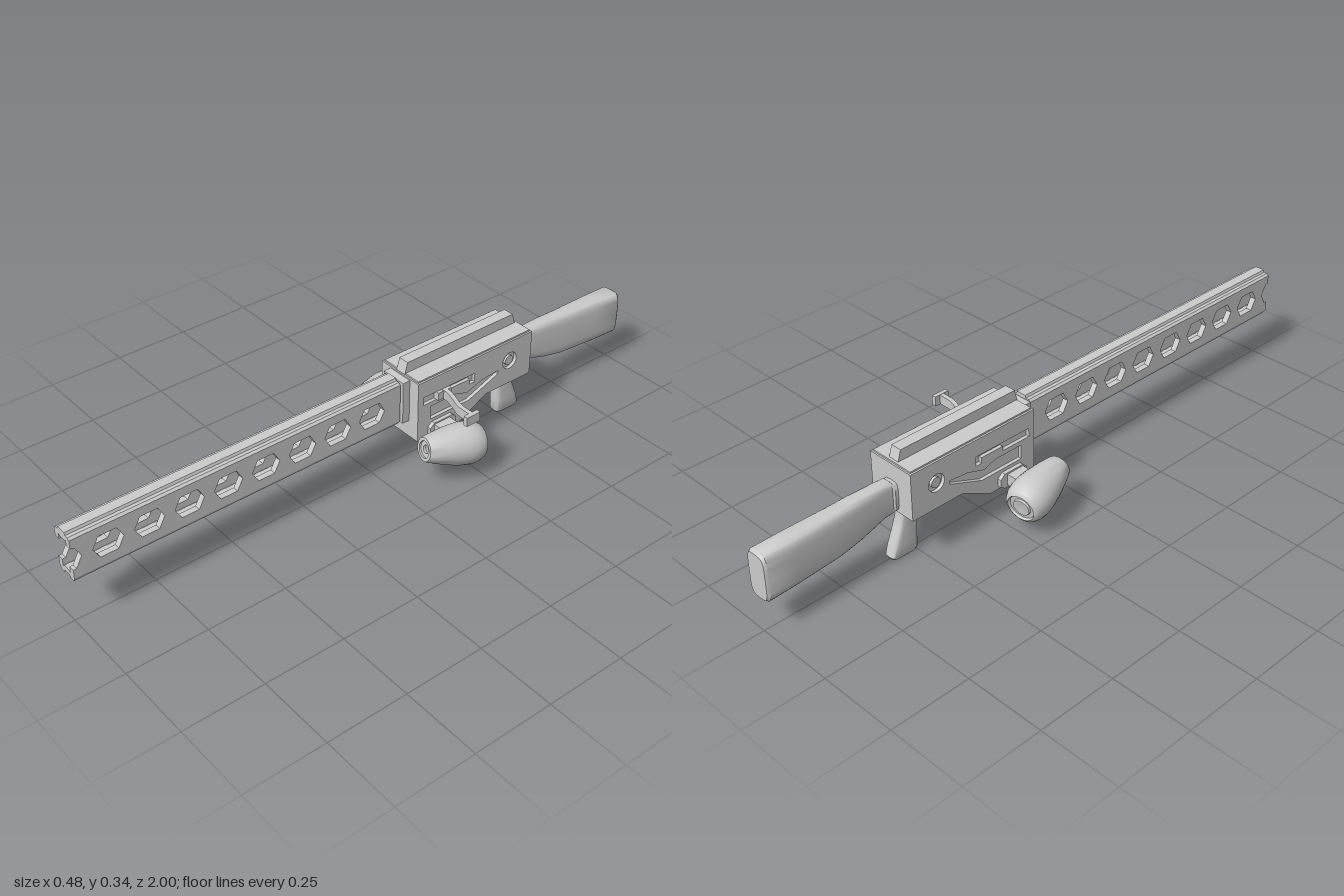
import * as THREE from 'three';
import { toCreasedNormals } from 'three/addons/utils/BufferGeometryUtils.js';

const grey = new THREE.MeshStandardMaterial({ color: 0xcccccc });

function add(parent, name, geometry, x = 0, y = 0, z = 0) {
  const mesh = new THREE.Mesh(geometry, grey);
  mesh.name = name;
  mesh.position.set(x, y, z);
  parent.add(mesh);
  return mesh;
}

const vecs = (pts) => pts.map(([a, b]) => new THREE.Vector2(a, b));

// Side profile given as [z, y] points, extruded from x0 to x1
function slab(pts, x0, x1, holes = []) {
  const shape = new THREE.Shape(vecs(pts));
  holes.forEach((h) => shape.holes.push(new THREE.Path(vecs(h))));
  return new THREE.ExtrudeGeometry(shape, { depth: x1 - x0, bevelEnabled: false })
    .rotateY(-Math.PI / 2).translate(x1, 0, 0);
}

// Front profile given as [x, y] points, extruded from z0 to z1
function rail(pts, z0, z1) {
  return new THREE.ExtrudeGeometry(new THREE.Shape(vecs(pts)), { depth: z1 - z0, bevelEnabled: false })
    .translate(0, 0, z0);
}

// Soft-cornered sections [z, centreY, halfWidth, halfHeight], ordered by rising z
function loft(sections, n = 24) {
  const pos = [], index = [];
  for (const [z, cy, w, h] of sections) {
    for (let k = 0; k < n; k++) {
      const a = (k / n) * Math.PI * 2, c = Math.cos(a), s = Math.sin(a);
      pos.push(w * Math.sign(c) * Math.abs(c) ** 0.45, cy + h * Math.sign(s) * Math.abs(s) ** 0.45, z);
    }
  }
  const last = sections.length - 1;
  for (let i = 0; i < last; i++) {
    for (let k = 0; k < n; k++) {
      const a = i * n + k, b = i * n + (k + 1) % n;
      index.push(a, b, b + n, a, b + n, a + n);
    }
  }
  for (let k = 1; k < n - 1; k++) {
    index.push(0, k + 1, k, last * n, last * n + k, last * n + k + 1);
  }
  const g = new THREE.BufferGeometry();
  g.setAttribute('position', new THREE.Float32BufferAttribute(pos, 3));
  g.setIndex(index);
  return toCreasedNormals(g, 0.6);
}

function buildBarrel() {
  const barrel = new THREE.Group();
  barrel.name = 'barrel';
  // Side plates pierced by a row of hexagons, with a half hexagon at the muzzle
  const holes = [];
  for (let i = 0; i < 8; i++) {
    const z = 0.025 + i * 0.124;
    holes.push([[z - 0.046, 0.233], [z - 0.027, 0.267], [z + 0.027, 0.267],
      [z + 0.046, 0.233], [z + 0.027, 0.199], [z - 0.027, 0.199]]);
  }
  const side = [[-0.08, 0.17], [1, 0.17], [1, 0.199], [0.99, 0.199], [0.971, 0.233],
    [0.99, 0.267], [1, 0.267], [1, 0.295], [-0.08, 0.295]];
  add(barrel, 'leftBarrelPlate', slab(side, 0.018, 0.037, holes));
  add(barrel, 'rightBarrelPlate', slab(side, -0.037, -0.018, holes));
  // Upper and lower rails closing the bore
  add(barrel, 'upperRail', rail([[-0.018, 0.285], [-0.01, 0.28], [0.01, 0.28], [0.018, 0.285],
    [0.037, 0.295], [0.03, 0.301], [0.019, 0.301], [0.016, 0.309], [-0.016, 0.309],
    [-0.019, 0.301], [-0.03, 0.301], [-0.037, 0.295]], -0.08, 1));
  add(barrel, 'lowerRail', rail([[-0.037, 0.17], [-0.03, 0.158], [-0.016, 0.158], [-0.013, 0.165],
    [0.013, 0.165], [0.016, 0.158], [0.03, 0.158], [0.037, 0.17],
    [0.018, 0.178], [0.01, 0.183], [-0.01, 0.183], [-0.018, 0.178]], -0.08, 1));
  add(barrel, 'barrelCollar', new THREE.BoxGeometry(0.086, 0.14, 0.03), 0, 0.231, -0.1);
  return barrel;
}

function buildReceiver() {
  const receiver = new THREE.Group();
  receiver.name = 'receiver';
  const body = [[-0.11, 0.105], [-0.11, 0.306], [-0.56, 0.306], [-0.56, 0.157], [-0.38, 0.157], [-0.28, 0.105]];
  add(receiver, 'receiverCore', slab(body, -0.07, 0.07));
  // Outer plates with a bolt slot, a slanted recess and a round socket
  const socket = [];
  for (let k = 0; k < 20; k++) {
    const a = (k / 20) * Math.PI * 2;
    socket.push([-0.472 + 0.028 * Math.cos(a), 0.238 + 0.028 * Math.sin(a)]);
  }
  const slot = [[-0.13, 0.252], [-0.33, 0.252], [-0.33, 0.222], [-0.31, 0.222], [-0.31, 0.24],
    [-0.23, 0.24], [-0.23, 0.225], [-0.13, 0.225]];
  const recess = [[-0.16, 0.21], [-0.26, 0.21], [-0.3, 0.195], [-0.36, 0.215], [-0.425, 0.222],
    [-0.425, 0.21], [-0.31, 0.165], [-0.16, 0.165]];
  for (const s of [-1, 1]) {
    const name = s > 0 ? 'left' : 'right';
    add(receiver, name + 'ReceiverPlate',
      slab(body, s > 0 ? 0.07 : -0.081, s > 0 ? 0.081 : -0.07, [socket, slot, recess]));
    add(receiver, name + 'Pin', new THREE.CylinderGeometry(0.016, 0.016, 0.012, 20).rotateZ(Math.PI / 2),
      s * 0.073, 0.238, -0.472);
  }
  add(receiver, 'receiverLid', new THREE.BoxGeometry(0.15, 0.008, 0.44), 0, 0.307, -0.335);
  add(receiver, 'topRail', slab([[-0.112, 0.308], [-0.122, 0.345], [-0.537, 0.345], [-0.548, 0.308]], -0.018, 0.018));
  return receiver;
}

// Egg-shaped pod on a short bracket, built on the +x side
function buildPod() {
  const pod = new THREE.Group();
  const front = new THREE.Vector3(0.149, 0.13, -0.083);
  const rear = new THREE.Vector3(0.183, 0.098, -0.262);
  const profile = [[0, 0.008], [0.013, 0.008], [0.013, 0], [0.026, 0], [0.026, -0.006], [0.036, -0.006],
    [0.04, 0.004], [0.05, 0.04], [0.059, 0.08], [0.064, 0.115], [0.065, 0.14], [0.061, 0.163],
    [0.053, 0.18], [0.043, 0.186], [0.04, 0.178], [0.028, 0.178], [0.026, 0.184], [0.014, 0.184], [0, 0.18]];
  // Profile runs rear to front so that the surface faces outward
  const points = vecs(profile.map(([r, t]) => [r, -t]).reverse());
  const shell = add(pod, 'podShell', toCreasedNormals(new THREE.LatheGeometry(points, 28), 0.6),
    front.x, front.y, front.z);
  shell.quaternion.setFromUnitVectors(new THREE.Vector3(0, 1, 0), front.clone().sub(rear).normalize());
  add(pod, 'podFlange', slab([[-0.15, 0.115], [-0.15, 0.14], [-0.165, 0.154], [-0.235, 0.154],
    [-0.25, 0.14], [-0.25, 0.115], [-0.235, 0.106], [-0.165, 0.106]], 0.078, 0.093));
  add(pod, 'podArm', new THREE.BoxGeometry(0.06, 0.036, 0.06), 0.118, 0.131, -0.195);
  return pod;
}

function buildHandle() {
  const handle = new THREE.Group();
  handle.name = 'boltHandle';
  // Thin curved blade seen from above, as [x, -z] points, with an end tab
  const curve = new THREE.CatmullRomCurve3([[0.07, 0.205], [0.1, 0.207], [0.135, 0.198], [0.175, 0.185], [0.225, 0.183]]
    .map(([x, y]) => new THREE.Vector3(x, y, 0)));
  const pts = curve.getPoints(16);
  const outline = [...pts.map((p) => [p.x, p.y - 0.007]), ...pts.reverse().map((p) => [p.x, p.y + 0.007])];
  add(handle, 'handleBlade', new THREE.ExtrudeGeometry(new THREE.Shape(vecs(outline)), { depth: 0.03, bevelEnabled: false })
    .rotateX(-Math.PI / 2), 0, 0.223, 0);
  add(handle, 'handleTab', new THREE.BoxGeometry(0.014, 0.031, 0.05), 0.229, 0.238, -0.183);
  add(handle, 'handleBase', new THREE.BoxGeometry(0.02, 0.026, 0.05), 0.08, 0.238, -0.205);
  return handle;
}

export function createModel() {
  const model = new THREE.Group();
  model.name = 'rifle';
  model.add(buildBarrel(), buildReceiver(), buildHandle());

  const leftPod = buildPod();
  leftPod.name = 'leftPod';
  const rightPod = buildPod();
  rightPod.name = 'rightPod';
  rightPod.scale.x = -1;
  model.add(leftPod, rightPod);

  // Shoulder stock, narrow at the receiver and deep at the butt
  add(model, 'stock', loft([[-1, 0.178, 0.034, 0.069], [-0.992, 0.178, 0.039, 0.074], [-0.9, 0.181, 0.037, 0.074],
    [-0.76, 0.186, 0.032, 0.071], [-0.69, 0.194, 0.029, 0.066], [-0.6, 0.207, 0.024, 0.053],
    [-0.575, 0.207, 0.023, 0.052], [-0.57, 0.207, 0.028, 0.046], [-0.55, 0.207, 0.028, 0.046]]));

  // Grip, lofted upward and flared at the foot
  add(model, 'grip', loft([[0, 0.54, 0.018, 0.042], [0.008, 0.54, 0.022, 0.046], [0.04, 0.535, 0.022, 0.042],
    [0.09, 0.524, 0.021, 0.033], [0.125, 0.519, 0.02, 0.026], [0.165, 0.519, 0.022, 0.029]])
    .rotateX(-Math.PI / 2));

  // Trigger and its guard
  add(model, 'triggerGuard', slab([[-0.335, 0.16], [-0.35, 0.145], [-0.415, 0.112], [-0.46, 0.118], [-0.468, 0.16],
    [-0.458, 0.16], [-0.452, 0.126], [-0.416, 0.121], [-0.354, 0.153], [-0.347, 0.16]], -0.012, 0.012));
  add(model, 'trigger', slab([[-0.4, 0.16], [-0.398, 0.143], [-0.388, 0.132], [-0.408, 0.143], [-0.414, 0.16]], -0.006, 0.006));
  return model;
}
